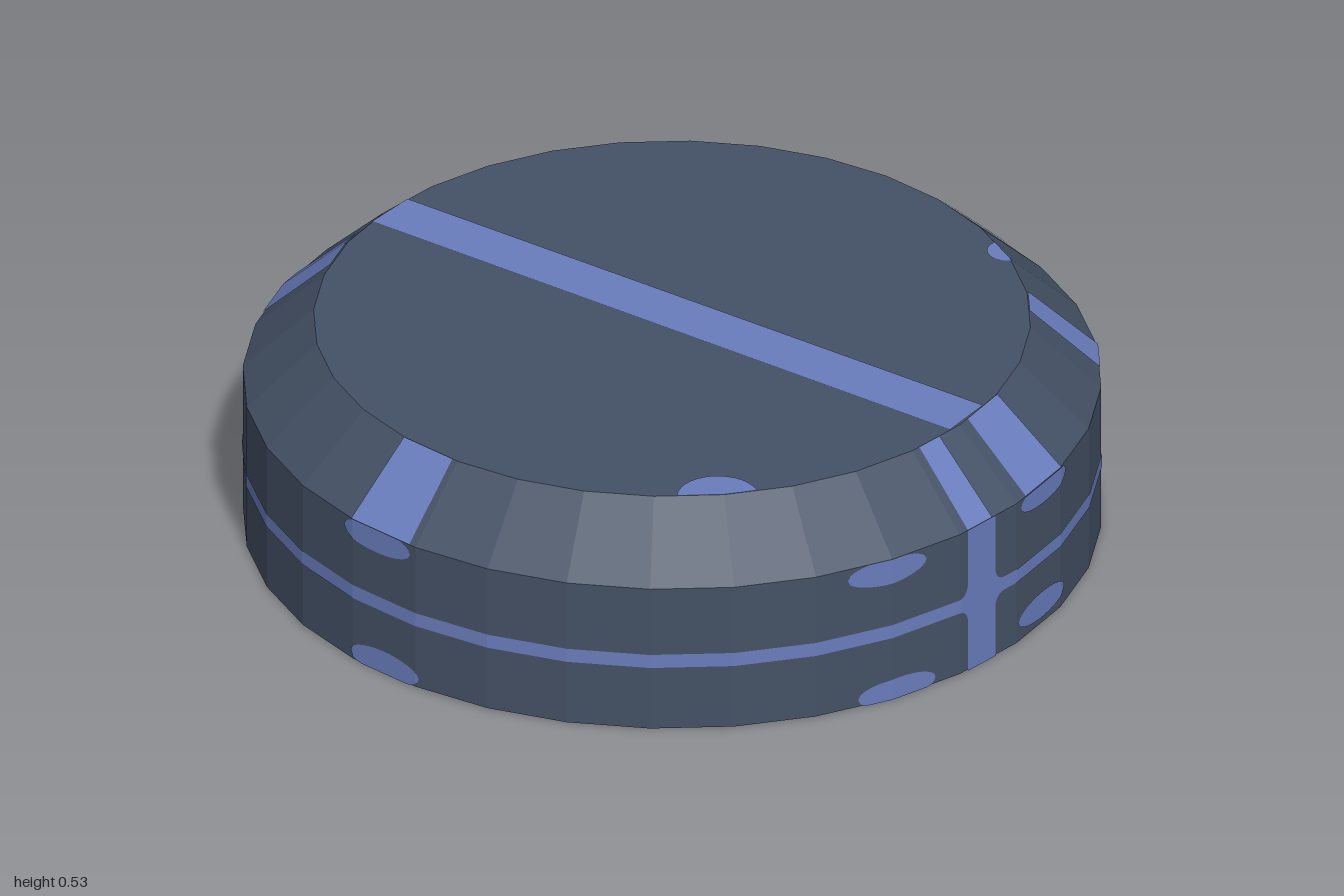
import * as THREE from 'three';

const SIDES = 32, RIM_Y = 0.375, TOP_Y = 0.53, TOP_R = 0.835, LIFT = 0.002;
const STEP = (Math.PI * 2) / SIDES;
const rad = THREE.MathUtils.degToRad;

// Radius of the faceted outline at an angle measured from +z towards +x
function facetRadius(angle, r) {
  const a = ((angle % STEP) + STEP) % STEP;
  return (r * Math.cos(STEP / 2)) / Math.cos(a - STEP / 2);
}

// Point just above the wall (y up to the rim) or the bevel (above the rim)
function onWall(angle, y, bevel) {
  const base = bevel ? 1 - ((y - RIM_Y) / (TOP_Y - RIM_Y)) * (1 - TOP_R) : 1;
  const r = facetRadius(angle, base + LIFT);
  return [r * Math.sin(angle), y + (bevel ? LIFT : 0), r * Math.cos(angle)];
}

// Painted area between lo(angle) and hi(angle), following the facets
function wallPaint(startDeg, endDeg, lo, hi, bevel = false, step = 0.75) {
  const a0 = rad(startDeg), a1 = rad(endDeg), stops = [a0, a1];
  for (let a = a0 + rad(step); a < a1; a += rad(step)) stops.push(a);
  for (let k = Math.ceil(a0 / STEP); k * STEP < a1; k++) stops.push(k * STEP);
  stops.sort((p, q) => p - q);
  const pos = [];
  for (let i = 0; i < stops.length - 1; i++) {
    const u = stops[i], v = stops[i + 1];
    if (v - u < 1e-6) continue;
    const a = onWall(u, lo(u), bevel), b = onWall(v, lo(v), bevel);
    const c = onWall(v, hi(v), bevel), d = onWall(u, hi(u), bevel);
    pos.push(...a, ...b, ...c, ...a, ...c, ...d);
  }
  const g = new THREE.BufferGeometry();
  g.setAttribute('position', new THREE.Float32BufferAttribute(pos, 3));
  g.computeVertexNormals();
  return g;
}

// Flat painted outline of [x, z] points, kept inside the faceted rim
function flatPaint(points, y, rim, up) {
  const pts = points.map(([x, z]) => {
    const k = Math.min(1, facetRadius(Math.atan2(x, z), rim) / Math.max(Math.hypot(x, z), 1e-6));
    return new THREE.Vector2(x * k, (up ? -z : z) * k);
  });
  const g = new THREE.ShapeGeometry(new THREE.Shape(pts));
  g.rotateX(up ? -Math.PI / 2 : Math.PI / 2);
  g.translate(0, y, 0);
  return g;
}

const oval = (cx, cz, rx, rz, n = 32) => Array.from({ length: n }, (_, i) => {
  const t = (i / n) * Math.PI * 2;
  return [cx + rx * Math.cos(t), cz + rz * Math.sin(t)];
});

export function createModel() {
  const model = new THREE.Group();
  const slate = new THREE.MeshStandardMaterial({ color: 0x445165 });
  slate.name = 'dark slate';
  const blue = new THREE.MeshStandardMaterial({ color: 0x6a7dbd });
  blue.name = 'muted blue';
  const add = (name, geometry, material = blue) => {
    const mesh = new THREE.Mesh(geometry, material);
    mesh.name = name;
    model.add(mesh);
  };

  // Faceted disc with a bevelled upper edge
  const profile = [[0, LIFT], [1, LIFT], [1, RIM_Y], [TOP_R, TOP_Y], [0, TOP_Y]]
    .map(([x, y]) => new THREE.Vector2(x, y));
  const body = new THREE.LatheGeometry(profile, SIDES).toNonIndexed();
  body.computeVertexNormals();
  add('discBody', body, slate);

  // Upright wall stripes, as [start, end] in degrees
  const uprights = [[-9.8, -4.3], [39, 45.5], [90, 94.6]];
  uprights.forEach(([a, b]) => add('uprightStripe', wallPaint(a, b, () => 0, () => RIM_Y)));

  // Ring stripe that flares into rounded corners at each upright
  const FILLET = 0.03;
  const flare = (u) => uprights.reduce((most, [a, b]) => {
    const d = Math.max(rad(a) - u, u - rad(b), 0);
    const f = d < FILLET ? FILLET - Math.sqrt(FILLET ** 2 - (FILLET - d) ** 2) : 0;
    return Math.max(most, f);
  }, 0);
  add('ringStripe', wallPaint(-60, 300, (u) => 0.165 - flare(u), (u) => 0.2 + flare(u), false, 0.25));

  // Oval wall spots, as [angle, height]
  const spots = [
    [-23, 0.345], [7, 0.355], [78.5, 0.355], [106.3, 0.325], [196, 0.35], [263, 0.35],
    [-21.5, 0.02], [6.4, 0.052], [79, 0.035], [108, 0.012], [194.5, 0.025], [264.5, 0.025],
  ];
  spots.forEach(([deg, y]) => {
    const half = 6.1;
    const h = (u) => 0.034 * Math.sqrt(Math.max(0, 1 - ((u - rad(deg)) / rad(half)) ** 2));
    add('wallSpot', wallPaint(deg - half, deg + half,
      (u) => Math.max(0, y - h(u)), (u) => Math.min(RIM_Y, y + h(u)), false, 0.4));
  });

  // Bevel panels, as [start, end] in degrees
  [[-9.8, -5], [2.2, 11.4], [39, 45.4], [73.7, 83.1], [90.4, 180], [187.6, 199.2], [258.5, 269]]
    .forEach(([a, b]) => add('bevelPanel', wallPaint(a, b, () => RIM_Y, () => TOP_Y, true)));

  // Top stripe and rim spots
  const topY = TOP_Y + LIFT;
  add('topStripe', flatPaint([[-0.058, -0.9], [0.087, -0.9], [0.113, 0.9], [-0.037, 0.9]], topY, TOP_R, true));
  add('topSpot', flatPaint(oval(-0.607, 0.585, 0.095, 0.095), topY, TOP_R, true));
  add('topSpot', flatPaint(oval(0.722, 0.438, 0.05, 0.05), topY, TOP_R, true));

  // Underside cross band, lines and softened crossings
  const tilt = -0.08;
  add('baseBand', flatPaint([[-1.1, -1.1 * tilt - 0.055], [1.1, 1.1 * tilt - 0.055],
    [1.1, 1.1 * tilt + 0.055], [-1.1, -1.1 * tilt + 0.055]], 0, 1, false));
  [0.44, 0, -0.4].forEach((x) => {
    const z = Math.sqrt(1 - x * x);
    add('baseLine', flatPaint([[x - 0.025, -z], [x + 0.025, -z], [x + 0.025, z], [x - 0.025, z]], 0, 1, false));
    add('baseCrossing', flatPaint(oval(x, x * tilt, 0.075, 0.08, 8), 0, 1, false));
  });

  // Underside oval spots
  [[0.53, -0.8], [0.31, -0.83], [-0.24, -0.78], [-0.53, -0.75],
    [0.58, 0.72], [0.34, 0.77], [-0.21, 0.84], [-0.47, 0.81]]
    .forEach(([x, z]) => add('baseSpot', flatPaint(oval(x, z, 0.045, 0.115), 0, 1, false)));

  return model;
}
